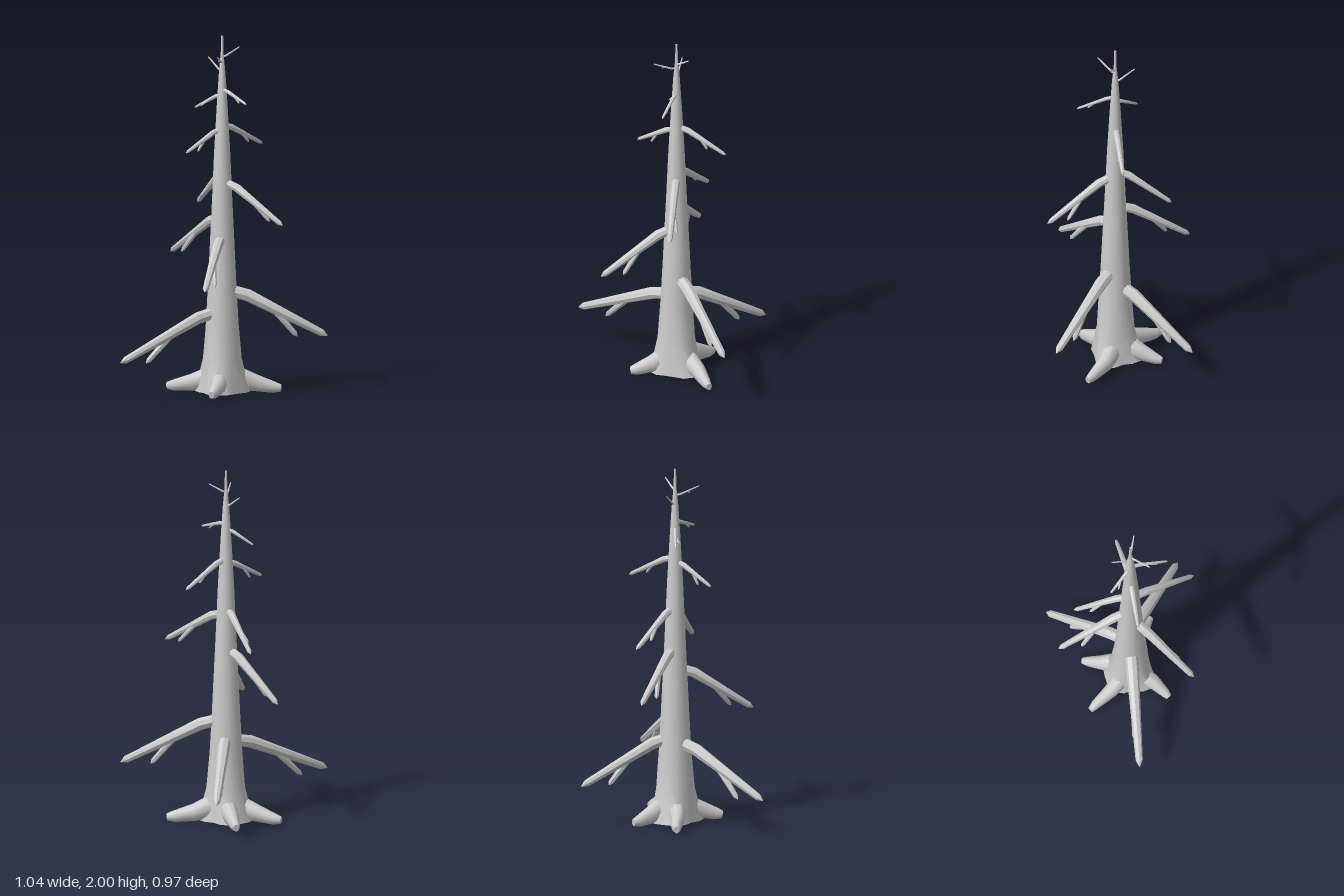
import * as THREE from 'three';
import { toCreasedNormals } from 'three/addons/utils/BufferGeometryUtils.js';

const AXIS = [-0.05, 0.045]; // trunk centre in x, z
const V = (p) => new THREE.Vector3(...p);

// Tapered tube through points, one radius per point, closed at both ends
function limb(points, radii, sides, stretch = 1) {
  const pos = [], index = [], up = new THREE.Vector3(0, 1, 0);
  points.forEach((p, i) => {
    const dir = points[Math.min(i + 1, points.length - 1)].clone()
      .sub(points[Math.max(i - 1, 0)]).normalize();
    const u = new THREE.Vector3().crossVectors(dir, up).normalize();
    const v = new THREE.Vector3().crossVectors(dir, u);
    for (let j = 0; j < sides; j++) {
      const a = (j / sides) * Math.PI * 2;
      const q = p.clone().addScaledVector(u, Math.cos(a) * radii[i])
        .addScaledVector(v, Math.sin(a) * radii[i] * stretch);
      pos.push(q.x, Math.max(q.y, 0.003), q.z);
    }
  });
  for (let i = 0; i < points.length - 1; i++) {
    for (let j = 0; j < sides; j++) {
      const a = i * sides + j, b = i * sides + (j + 1) % sides;
      index.push(a, b, a + sides, b, b + sides, a + sides);
    }
  }
  const last = (points.length - 1) * sides;
  for (let j = 1; j < sides - 1; j++) {
    index.push(0, j + 1, j, last, last + j, last + j + 1);
  }
  const g = new THREE.BufferGeometry();
  g.setAttribute('position', new THREE.Float32BufferAttribute(pos, 3));
  g.setIndex(index);
  return toCreasedNormals(g, 0.75);
}

// Branch: start height, tip, radius at the trunk, twig tip (optional)
const branches = [
  [0.59, [0.52, 0.33, -0.07], 0.035, [0.355, 0.325, -0.04]],
  [0.47, [-0.52, 0.22, 0.475], 0.035, [-0.405, 0.205, 0.35]],
  [0.49, [-0.125, 0.235, -0.485], 0.035, [-0.11, 0.235, -0.33]],
  [0.88, [-0.04, 0.635, 0.48], 0.029, [-0.012, 0.645, 0.36]],
  [0.99, [-0.4, 0.75, -0.185], 0.027, [-0.315, 0.765, -0.09]],
  [1.19, [0.33, 0.975, 0.19], 0.024, [0.24, 0.985, 0.125]],
  [1.22, [-0.25, 1.03, -0.195], 0.021, [-0.215, 1.07, -0.11]],
  [1.5, [0.12, 1.37, -0.19], 0.017, [0.065, 1.39, -0.1]],
  [1.48, [-0.21, 1.365, 0.225], 0.016, [-0.16, 1.365, 0.16]],
  [1.7, [0.12, 1.64, 0.175], 0.011, [0.07, 1.64, 0.14]],
  [1.67, [-0.21, 1.59, 0.03], 0.011, [-0.17, 1.605, 0.055]],
  [1.85, [-0.045, 1.9, 0.18], 0.006, [-0.05, 1.865, 0.13]],
  [1.8, [-0.145, 1.87, -0.015], 0.006],
  [1.88, [0.04, 1.935, 0], 0.006],
];

// Root: list of [x, y, z] after the trunk axis
const roots = [
  [[-0.14, 0.085, 0.045], [-0.22, 0.06, 0.04], [-0.33, 0.037, 0.018], [-0.37, 0.033, 0.015]],
  [[0.04, 0.085, -0.01], [0.11, 0.06, -0.035], [0.22, 0.035, -0.05], [0.26, 0.03, -0.055]],
  [[-0.09, 0.085, -0.05], [-0.12, 0.06, -0.1], [-0.155, 0.037, -0.17], [-0.17, 0.033, -0.2]],
  [[-0.045, 0.085, 0.13], [-0.035, 0.065, 0.19], [-0.04, 0.04, 0.28], [-0.045, 0.035, 0.31]],
];

export function createModel() {
  const model = new THREE.Group();
  const material = new THREE.MeshStandardMaterial({ color: 0xcccccc, side: THREE.DoubleSide });
  const add = (name, geometry, parent = model) => {
    const mesh = new THREE.Mesh(geometry, material);
    mesh.name = name;
    parent.add(mesh);
    return mesh;
  };

  // Trunk: tapered lathe, its foot flared toward the roots
  const profile = [[0.112, 0.015], [0.107, 0.08], [0.1, 0.2], [0.091, 0.4], [0.08, 0.6],
    [0.068, 0.85], [0.056, 1.1], [0.045, 1.35], [0.031, 1.6], [0.018, 1.8], [0.008, 1.9],
    [0.006, 2], [0, 2]].map((p) => new THREE.Vector2(...p));
  const trunk = new THREE.LatheGeometry(profile, 16);
  const rootAngles = roots.map((r) => Math.atan2(r[2][2] - AXIS[1], r[2][0] - AXIS[0]));
  const p = trunk.attributes.position;
  for (let i = 0; i < p.count; i++) {
    const angle = Math.atan2(p.getZ(i), p.getX(i));
    const near = Math.max(...rootAngles.map((a) => Math.cos(angle - a)), 0);
    const low = Math.max(0, 1 - p.getY(i) / 0.25);
    const s = 1 + 0.45 * low * near ** 6;
    p.setX(i, p.getX(i) * s);
    p.setZ(i, p.getZ(i) * s);
  }
  trunk.translate(AXIS[0], 0, AXIS[1]);
  add('trunk', toCreasedNormals(trunk, 0.75));

  // Roots: thick at the trunk, blunt at the end
  const rootGroup = new THREE.Group();
  rootGroup.name = 'roots';
  model.add(rootGroup);
  for (const r of roots) {
    const path = [[AXIS[0], 0.1, AXIS[1]], ...r].map(V);
    add('root', limb(path, [0.05, 0.05, 0.041, 0.027, 0.017], 10, 1.2), rootGroup);
  }

  // Branches: leave the trunk flatly, then run straight to a pointed tip
  for (const [y, tipAt, r, twigAt] of branches) {
    const group = new THREE.Group();
    group.name = 'branchWithTwig';
    model.add(group);
    const start = new THREE.Vector3(AXIS[0], y, AXIS[1]);
    const tip = V(tipAt);
    const bend = start.clone().lerp(tip, 0.24);
    bend.y += (y - tip.y) * 0.1;
    const neck = bend.clone().lerp(tip, 0.93);
    add('branch', limb([start, bend, neck, tip], [r * 0.95, r, r * 0.58, r * 0.06], 8), group);
    if (!twigAt) continue;

    // Twig: forks from the middle of the branch
    const end = V(twigAt);
    const fork = bend.clone().lerp(tip, 0.32);
    const twigNeck = fork.clone().lerp(end, 0.9);
    add('twig', limb([fork, twigNeck, end], [r * 0.6, r * 0.42, r * 0.08], 7), group);
  }
  return model;
}
